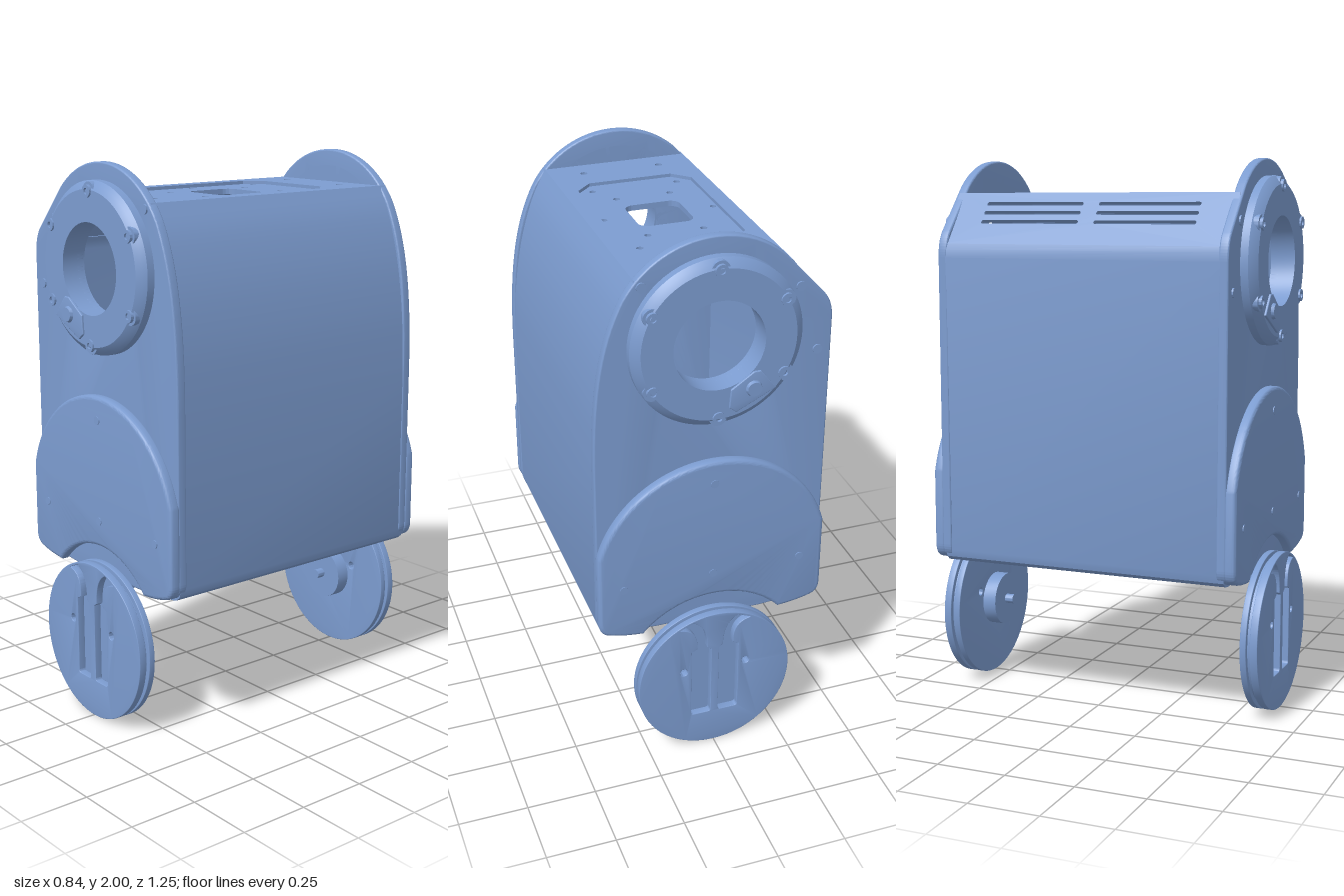
import * as THREE from 'three';
import { toCreasedNormals } from 'three/addons/utils/BufferGeometryUtils.js';

const material = new THREE.MeshStandardMaterial({ color: 0x7c9cd0 });

function part(name, geometry, parent) {
  const mesh = new THREE.Mesh(toCreasedNormals(geometry, 0.5), material);
  mesh.name = name;
  parent.add(mesh);
  return mesh;
}

const circle = (x, y, r) => new THREE.Path().absarc(x, y, r, 0, Math.PI * 2, true);
const polygon = (pts, Type = THREE.Path) => new Type(pts.map(p => new THREE.Vector2(...p)));

// Rounded rectangle path centred at (x, y)
function roundRect(x, y, w, h, r, Type = THREE.Path) {
  const a = w / 2 - r, b = h / 2 - r, p = new Type();
  p.absarc(x + a, y + b, r, 0, Math.PI / 2);
  p.absarc(x - a, y + b, r, Math.PI / 2, Math.PI);
  p.absarc(x - a, y - b, r, Math.PI, Math.PI * 1.5);
  p.absarc(x + a, y - b, r, Math.PI * 1.5, Math.PI * 2);
  p.closePath();
  return p;
}

// Extrude from z0 to z1, optional bevel kept inside that range
function slab(shape, z0, z1, bevel = 0) {
  return new THREE.ExtrudeGeometry(shape, {
    depth: z1 - z0 - bevel * 2, curveSegments: 48,
    bevelEnabled: bevel > 0, bevelSize: bevel, bevelThickness: bevel,
    bevelOffset: -bevel, bevelSegments: 4,
  }).translate(0, 0, z0 + bevel);
}

// Horizontal panel: shape y becomes z, thickness goes down from the top
const panel = (shape, top, t) => slab(shape, 0, t).rotateX(Math.PI / 2).translate(0, top, 0);

// Cylinder along z
const disc = (x, y, r, z0, z1, r2 = r) =>
  new THREE.CylinderGeometry(r2, r, z1 - z0, 32).rotateX(Math.PI / 2).translate(x, y, (z0 + z1) / 2);

// Wall of even thickness following an open profile, swept along z
function wall(points, t) {
  const inner = points.map((p, i) => {
    const a = points[Math.max(i - 1, 0)], b = points[Math.min(i + 1, points.length - 1)];
    const dx = b[0] - a[0], dy = b[1] - a[1], l = Math.hypot(dx, dy);
    return [p[0] + dy / l * t, p[1] - dx / l * t];
  });
  return slab(polygon([...points, ...inner.reverse()], THREE.Shape), -0.54, 0.54);
}

// Copy a group across z = 0 with corrected winding
function mirrorZ(source) {
  const copy = new THREE.Group();
  source.children.forEach(mesh => {
    const g = mesh.geometry.clone().scale(1, 1, -1);
    for (const key of ['position', 'normal']) {
      const a = g.attributes[key];
      for (let i = 0; i < a.count; i += 3) {
        const p = [a.getX(i), a.getY(i), a.getZ(i)];
        a.setXYZ(i, a.getX(i + 1), a.getY(i + 1), a.getZ(i + 1));
        a.setXYZ(i + 1, ...p);
      }
    }
    const m = new THREE.Mesh(g, material);
    m.name = mesh.name;
    copy.add(m);
  });
  return copy;
}

function buildShell() {
  const g = new THREE.Group();
  g.name = 'shell';
  // Curved side wall, rolled under at the bottom
  const curve = new THREE.SplineCurve([[0.27, 1.88], [0.325, 1.77], [0.375, 1.6], [0.405, 1.4], [0.415, 1.195]]
    .map(p => new THREE.Vector2(...p))).getPoints(16).map(p => [p.x, p.y]);
  const foot = [[0.415, 0.58], [0.408, 0.553], [0.39, 0.538], [0.365, 0.533], [0.34, 0.533]];
  part('leftWall', wall([...curve, ...foot], 0.02).translate(0, 0, 0), g);
  // Upright side wall, listed upward so the thickness goes inward
  const right = [[-0.41, 1.7], [-0.417, 1.68], [-0.42, 1.65], ...foot.map(p => [-p[0], p[1]])].reverse();
  part('rightWall', wall(right, 0.02), g);

  // Sloping panel with two rows of vent slots
  const length = Math.hypot(0.14, 0.18);
  const slope = polygon([[-length, -0.54], [0, -0.54], [0, 0.54], [-length, 0.54]], THREE.Shape);
  for (const u of [-0.13, -0.09, -0.05])
    for (const z of [-0.22, 0.22]) slope.holes.push(roundRect(u, z, 0.016, 0.38, 0.007));
  part('ventPanel', panel(slope, 0, 0.015).rotateZ(Math.atan2(0.18, 0.14)).translate(-0.27, 1.88, 0), g);

  // Top panel with a recessed tray
  const top = roundRect(0, 0, 0.54, 1.08, 0.002, THREE.Shape);
  top.holes.push(polygon([[-0.215, -0.265], [-0.155, -0.325], [0.155, -0.325], [0.215, -0.265],
    [0.215, 0.265], [0.155, 0.325], [-0.155, 0.325], [-0.215, 0.265]]));
  const tray = roundRect(0, 0, 0.46, 0.68, 0.03, THREE.Shape);
  tray.holes.push(roundRect(0, 0, 0.2, 0.2, 0.035));
  for (const s of [-1, 1]) {
    tray.holes.push(circle(s * 0.2, 0, 0.011));
    for (const e of [-1, 1]) {
      top.holes.push(circle(s * 0.145, e * 0.43, 0.013));
      tray.holes.push(circle(s * 0.1, e * 0.175, 0.012), circle(s * 0.16, e * 0.27, 0.012));
    }
  }
  part('topPanel', panel(top, 1.88, 0.015), g);
  part('topTray', panel(tray, 1.868, 0.02), g);

  // Raised floor with a cable slot
  const floor = roundRect(0, 0, 0.8, 1.06, 0.01, THREE.Shape);
  floor.holes.push(roundRect(0, 0, 0.2, 0.115, 0.045));
  part('floor', panel(floor, 0.625, 0.025), g);
  return g;
}

function buildEnd() {
  const g = new THREE.Group();
  // End plate: round head, one curved and one chamfered shoulder
  const plate = new THREE.Shape();
  plate.moveTo(-0.2, 0.522);
  plate.lineTo(0.2, 0.522);
  plate.quadraticCurveTo(0.32, 0.53, 0.38, 0.545);
  plate.quadraticCurveTo(0.418, 0.555, 0.418, 0.6);
  plate.lineTo(0.418, 1.2);
  plate.bezierCurveTo(0.418, 1.5, 0.385, 1.68, 0.312, 1.82);
  plate.absarc(0, 1.64, 0.36, Math.PI / 6, Math.PI * 0.74, false);
  plate.lineTo(-0.39, 1.745);
  plate.quadraticCurveTo(-0.42, 1.71, -0.42, 1.65);
  plate.lineTo(-0.42, 0.6);
  plate.quadraticCurveTo(-0.42, 0.555, -0.38, 0.545);
  plate.quadraticCurveTo(-0.32, 0.53, -0.2, 0.522);
  plate.holes.push(circle(0, 1.64, 0.16));
  part('endPlate', slab(plate, 0.515, 0.55, 0.006), g);

  // Arched lower cover, cut out around the wheel
  const cover = new THREE.Shape();
  const a = Math.asin(0.115 / 0.435), w = Math.asin(0.23 / 0.345);
  cover.moveTo(0.258, 0.525);
  cover.quadraticCurveTo(0.33, 0.53, 0.38, 0.545);
  cover.quadraticCurveTo(0.42, 0.555, 0.42, 0.6);
  cover.absarc(0, 0.755, 0.435, a, Math.PI - a, false);
  cover.lineTo(-0.42, 0.6);
  cover.quadraticCurveTo(-0.42, 0.555, -0.38, 0.545);
  cover.quadraticCurveTo(-0.33, 0.53, -0.258, 0.525);
  cover.absarc(0, 0.295, 0.345, Math.PI - w, w, true);
  part('lowerCover', slab(cover, 0.54, 0.585, 0.014), g);
  for (const [x, y] of [[0, 1.105], [-0.33, 0.735], [0, 0.735], [0.33, 0.735]])
    part('coverScrew', disc(x, y, 0.015, 0.58, 0.588), g);
  for (const [x, y] of [[-0.3, 1.785], [-0.37, 1.545], [0.25, 1.86]])
    part('plateScrew', disc(x, y, 0.017, 0.545, 0.556), g);

  // Chamfered ring flange and its six bolts
  const profile = [[0.16, 0.515], [0.30, 0.515], [0.30, 0.578], [0.288, 0.592], [0.27, 0.605], [0.16, 0.605], [0.16, 0.515]];
  part('ringFlange', new THREE.LatheGeometry(profile.map(p => new THREE.Vector2(...p)), 72)
    .rotateX(Math.PI / 2).translate(0, 1.64, 0), g);
  for (let i = 0; i < 6; i++) {
    const t = Math.PI / 2 + i * Math.PI / 3;
    const x = Math.cos(t) * 0.265, y = 1.64 + Math.sin(t) * 0.265;
    part('flangeBolt', disc(x, y, 0.032, 0.58, 0.601), g);
    const head = new THREE.Shape().absarc(x, y, 0.022, 0, Math.PI * 2);
    head.holes.push(circle(x, y, 0.011));
    part('flangeBoltHead', slab(head, 0.59, 0.612), g);
  }

  // Small cable clip on the ring
  const clip = polygon([[-0.2, 1.46], [-0.06, 1.39], [-0.035, 1.41], [-0.04, 1.475], [-0.12, 1.53], [-0.145, 1.53]], THREE.Shape);
  part('cableClip', slab(clip, 0.6, 0.613, 0.003), g);
  part('cableClipPost', disc(-0.12, 1.47, 0.03, 0.61, 0.624, 0.025), g);
  part('lowerBracket', new THREE.BoxGeometry(0.22, 0.05, 0.06).translate(0, 0.525, 0.52), g);

  // Grooved wheel in three layers, with two pockets in the outer one
  const layers = [[0.56, 0.583, 0.29], [0.583, 0.597, 0.272], [0.597, 0.625, 0.29]];
  layers.forEach(([z0, z1, r], i) => {
    const shape = new THREE.Shape().absarc(0, 0.291, r, 0, Math.PI * 2);
    for (const s of [-1, 1]) {
      shape.holes.push(circle(s * 0.119, 0.345, 0.015));
      if (i < 2) continue;
      const slot = new THREE.Path();
      slot.moveTo(s * 0.025, 0.14);
      slot.lineTo(s * 0.08, 0.14);
      slot.quadraticCurveTo(s * 0.09, 0.14, s * 0.09, 0.15);
      slot.lineTo(s * 0.09, 0.43);
      slot.lineTo(s * 0.068, 0.44);
      slot.bezierCurveTo(s * 0.066, 0.5, s * 0.085, 0.53, s * 0.135, 0.538);
      slot.lineTo(s * 0.085, 0.56);
      slot.bezierCurveTo(s * 0.045, 0.54, s * 0.03, 0.5, s * 0.03, 0.44);
      slot.lineTo(s * 0.015, 0.43);
      slot.lineTo(s * 0.015, 0.15);
      slot.quadraticCurveTo(s * 0.015, 0.14, s * 0.025, 0.14);
      shape.holes.push(slot);
    }
    part('wheelLayer', slab(shape, z0, z1, i === 1 ? 0 : 0.002), g);
  });
  part('wheelHub', disc(0, 0.295, 0.1, 0.508, 0.562), g);
  part('wheelAxle', disc(0, 0.295, 0.018, 0.475, 0.51), g);
  return g;
}

export function createModel() {
  const model = new THREE.Group();
  model.name = 'wheeledHousing';
  const front = buildEnd();
  front.name = 'frontEnd';
  const back = mirrorZ(front);
  back.name = 'backEnd';
  model.add(buildShell(), front, back);
  return model;
}
